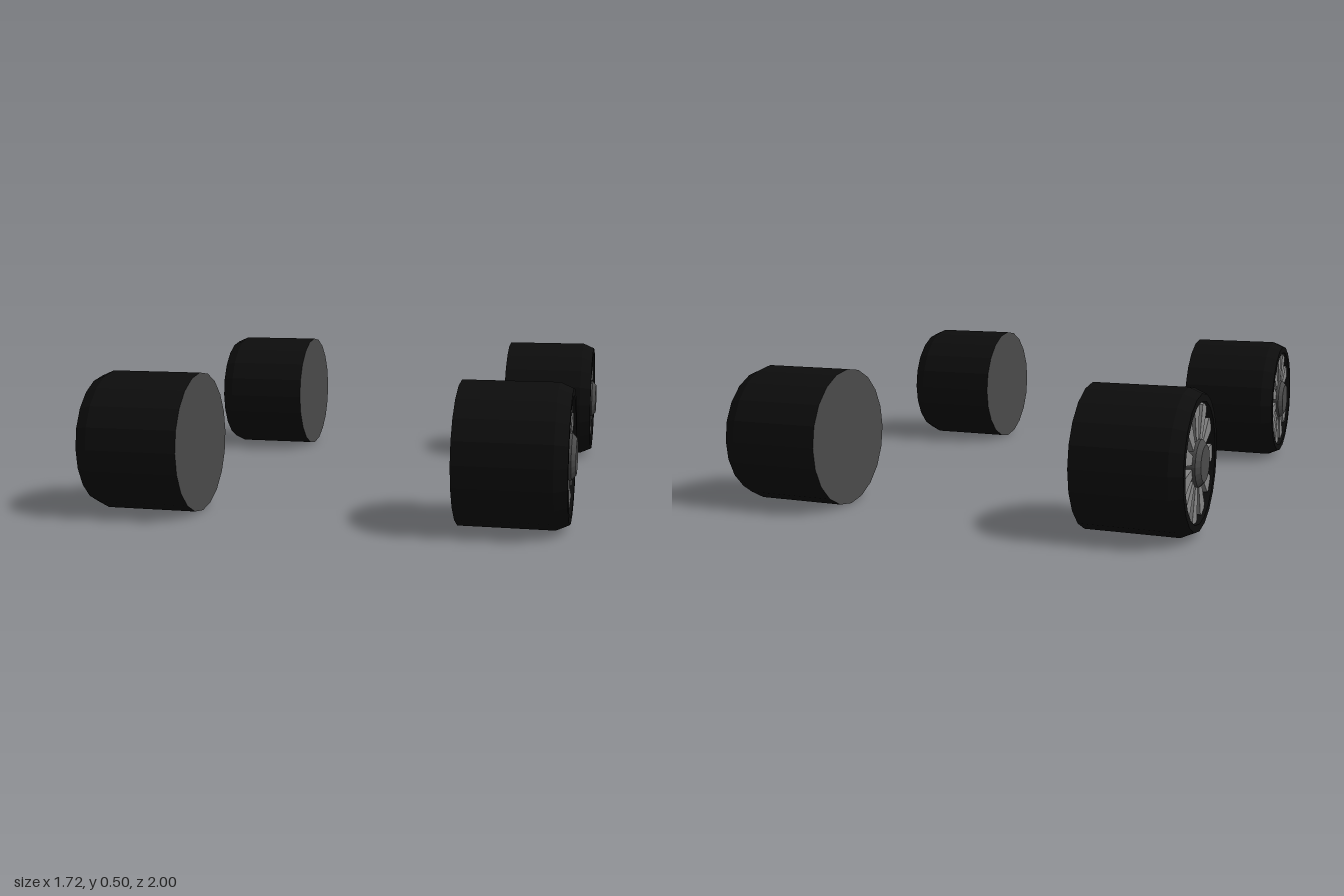
import * as THREE from 'three';

const SIDES = 20;
const SPOKES = 11;

const tyreMat = new THREE.MeshStandardMaterial({ color: 0x0d0d0d });
const hubMat = new THREE.MeshStandardMaterial({ color: 0x4a4a4a });
const spokeMat = new THREE.MeshStandardMaterial({ color: 0x868686 });
tyreMat.name = 'tyre black';
hubMat.name = 'hub grey';
spokeMat.name = 'spoke grey';

// Turned part: profile of [radius, distance outwards], axis along +x
function turned(name, points, material) {
  const profile = points.map(([r, x]) => new THREE.Vector2(r, x));
  let geometry = new THREE.LatheGeometry(profile, SIDES).toNonIndexed();
  geometry.computeVertexNormals();
  geometry.rotateZ(-Math.PI / 2);
  const mesh = new THREE.Mesh(geometry, material);
  mesh.name = name;
  return mesh;
}

// Tapered spoke, wide at the rim, extruded along +x
function spokeGeometry() {
  const s = new THREE.Shape();
  s.moveTo(-0.014, 0.07);
  s.lineTo(0.014, 0.07);
  s.lineTo(0.031, 0.19);
  s.lineTo(0.02, 0.2);
  s.lineTo(-0.02, 0.2);
  s.lineTo(-0.031, 0.19);
  s.closePath();
  const g = new THREE.ExtrudeGeometry(s, { depth: 0.035, bevelEnabled: false });
  return g.rotateY(Math.PI / 2).translate(0.8, 0, 0);
}

// One wheel whose outer side faces +x, axle at the origin
function wheel(name) {
  const group = new THREE.Group();
  group.name = name;

  // Tread, shoulder and dished outer face
  group.add(turned('tyre', [
    [0.25, 0.47], [0.25, 0.8], [0.23, 0.845], [0.205, 0.845], [0.2, 0.8], [0, 0.8],
  ].map(([r, x]) => [r, x]), tyreMat));

  // Flat inner cover
  const cover = new THREE.Mesh(new THREE.CircleGeometry(0.25, SIDES).rotateY(-Math.PI / 2), hubMat);
  cover.name = 'innerCover';
  cover.position.x = 0.47;
  group.add(cover);

  // Bevelled hub cap
  group.add(turned('hub', [[0.08, 0.8], [0.08, 0.845], [0.062, 0.86], [0, 0.86]], hubMat));

  const geometry = spokeGeometry();
  for (let i = 0; i < SPOKES; i++) {
    const spoke = new THREE.Mesh(geometry, spokeMat);
    spoke.name = 'spoke';
    spoke.rotation.x = 0.14 + (i * 2 * Math.PI) / SPOKES;
    group.add(spoke);
  }
  return group;
}

export function createModel() {
  const model = new THREE.Group();
  model.name = 'wheelSet';
  for (const [end, z] of [['front', 0.75], ['rear', -0.75]]) {
    for (const [side, turn] of [['Left', 0], ['Right', Math.PI]]) {
      const w = wheel(`${end}${side}Wheel`);
      w.rotation.y = turn;
      w.position.set(0, 0.25, z);
      model.add(w);
    }
  }
  return model;
}
